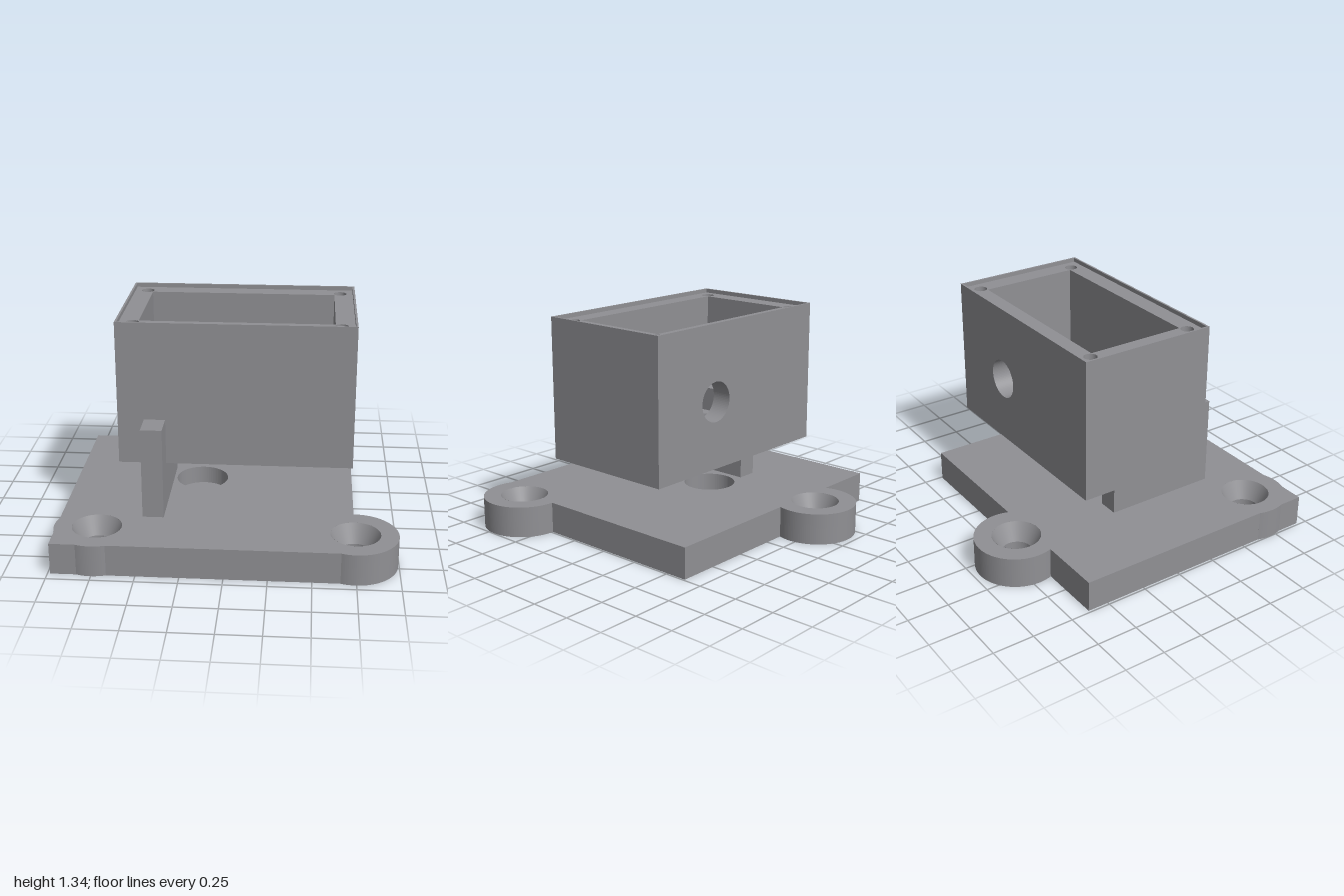
import * as THREE from 'three';

export function createModel() {
  const model = new THREE.Group();
  const grey = new THREE.MeshStandardMaterial({ color: 0x909094 });
  grey.name = 'grey';
  const greyInside = new THREE.MeshStandardMaterial({ color: 0x909094, side: THREE.DoubleSide });
  greyInside.name = 'greyInside';

  const add = (name, geometry, material = grey, parent = model) => {
    const mesh = new THREE.Mesh(geometry, material);
    mesh.name = name;
    parent.add(mesh);
    return mesh;
  };
  const box = (x0, x1, y0, y1, z0, z1) =>
    new THREE.BoxGeometry(x1 - x0, y1 - y0, z1 - z0)
      .translate((x0 + x1) / 2, (y0 + y1) / 2, (z0 + z1) / 2);
  const rect = (Type, x0, x1, y0, y1) => new Type([
    new THREE.Vector2(x0, y0), new THREE.Vector2(x1, y0),
    new THREE.Vector2(x1, y1), new THREE.Vector2(x0, y1)]);
  const circle = (x, y, r) => new THREE.Path().absarc(x, y, r, 0, Math.PI * 2, true);
  // Plan shapes are drawn in (x, -z) and raised from y0 to y1
  const slab = (shape, y0, y1) =>
    new THREE.ExtrudeGeometry(shape, { depth: y1 - y0, bevelEnabled: false, curveSegments: 40 })
      .rotateX(-Math.PI / 2).translate(0, y0, 0);

  // Base plate with three round screw lugs
  const lugs = [[-0.36, 0.715], [-0.75, -0.705], [0.745, -0.705]];
  const outline = () => {
    const s = new THREE.Shape();
    const arc = ([cx, cy], x0, y0, x1, y1) => {
      s.lineTo(x0, y0);
      s.absarc(cx, cy, 0.25, Math.atan2(y0 - cy, x0 - cx), Math.atan2(y1 - cy, x1 - cx), false);
    };
    s.moveTo(-0.985, -0.94);
    arc(lugs[1], -0.835, -0.94, -0.665, -0.94);
    arc(lugs[2], 0.66, -0.94, 0.74, -0.455);
    s.lineTo(0.74, 0.63);
    arc(lugs[0], -0.125, 0.63, -0.595, 0.63);
    s.lineTo(-0.985, 0.63);
    arc(lugs[1], -0.985, -0.62, -0.985, -0.79);
    s.closePath();
    return s;
  };
  const step = 0.08, top = 0.19;
  const lower = outline(), upper = outline();
  for (const [x, v] of lugs) {
    lower.holes.push(circle(x, v, 0.09));
    upper.holes.push(circle(x, v, 0.145));
    add('countersink', new THREE.CylinderGeometry(0.145, 0.09, top - step, 40, 1, true)
      .translate(x, (top + step) / 2, -v), greyInside);
  }
  upper.holes.push(circle(-0.2, 0, 0.16)); // blind round pocket
  add('basePlateLower', slab(lower, 0, step));
  add('basePlateUpper', slab(upper, step, top));

  // Open-topped hopper box
  const X0 = -0.655, X1 = 0.725, Z = 0.425, Y0 = 0.475, Y1 = 1.34;
  const IX0 = -0.53, IX1 = 0.6, IZ = 0.305, floorTop = 0.6, rimBase = 1.21, rimTop = 1.315;
  const hopper = new THREE.Group();
  hopper.name = 'hopper';
  model.add(hopper);

  const floor = rect(THREE.Shape, IX0, IX1, -IZ, IZ);
  floor.holes.push(circle(-0.2, 0, 0.16));
  add('hopperFloor', slab(floor, Y0, floorTop), grey, hopper);
  add('frontWall', box(X0, X1, Y0, rimBase, IZ, Z), grey, hopper);
  add('rightWall', box(X0, IX0, Y0, rimBase, -IZ, IZ), grey, hopper);
  add('leftWall', box(IX1, X1, Y0, rimBase, -IZ, IZ), grey, hopper);
  const back = rect(THREE.Shape, X0, X1, Y0, rimBase);
  back.holes.push(circle(0.24, 0.88, 0.12));
  add('backWall', new THREE.ExtrudeGeometry(back,
    { depth: Z - IZ, bevelEnabled: false, curveSegments: 40 }).translate(0, 0, -Z), grey, hopper);

  // Rim with four corner screw holes, inside a thin lip
  const rim = rect(THREE.Shape, X0, X1, -Z, Z);
  rim.holes.push(rect(THREE.Path, IX0, IX1, -IZ, IZ));
  for (const x of [-0.565, 0.635])
    for (const v of [-0.335, 0.335]) rim.holes.push(circle(x, v, 0.039));
  add('rim', slab(rim, rimBase, rimTop), grey, hopper);
  const lip = rect(THREE.Shape, X0, X1, -Z, Z);
  lip.holes.push(rect(THREE.Path, X0 + 0.012, X1 - 0.012, -Z + 0.012, Z - 0.012));
  add('lip', slab(lip, rimTop, Y1), grey, hopper);

  // Upright slider passing through the front wall and floor
  add('slider', box(-0.5, -0.375, 0.2, 0.75, -0.115, 0.59));

  return model;
}
